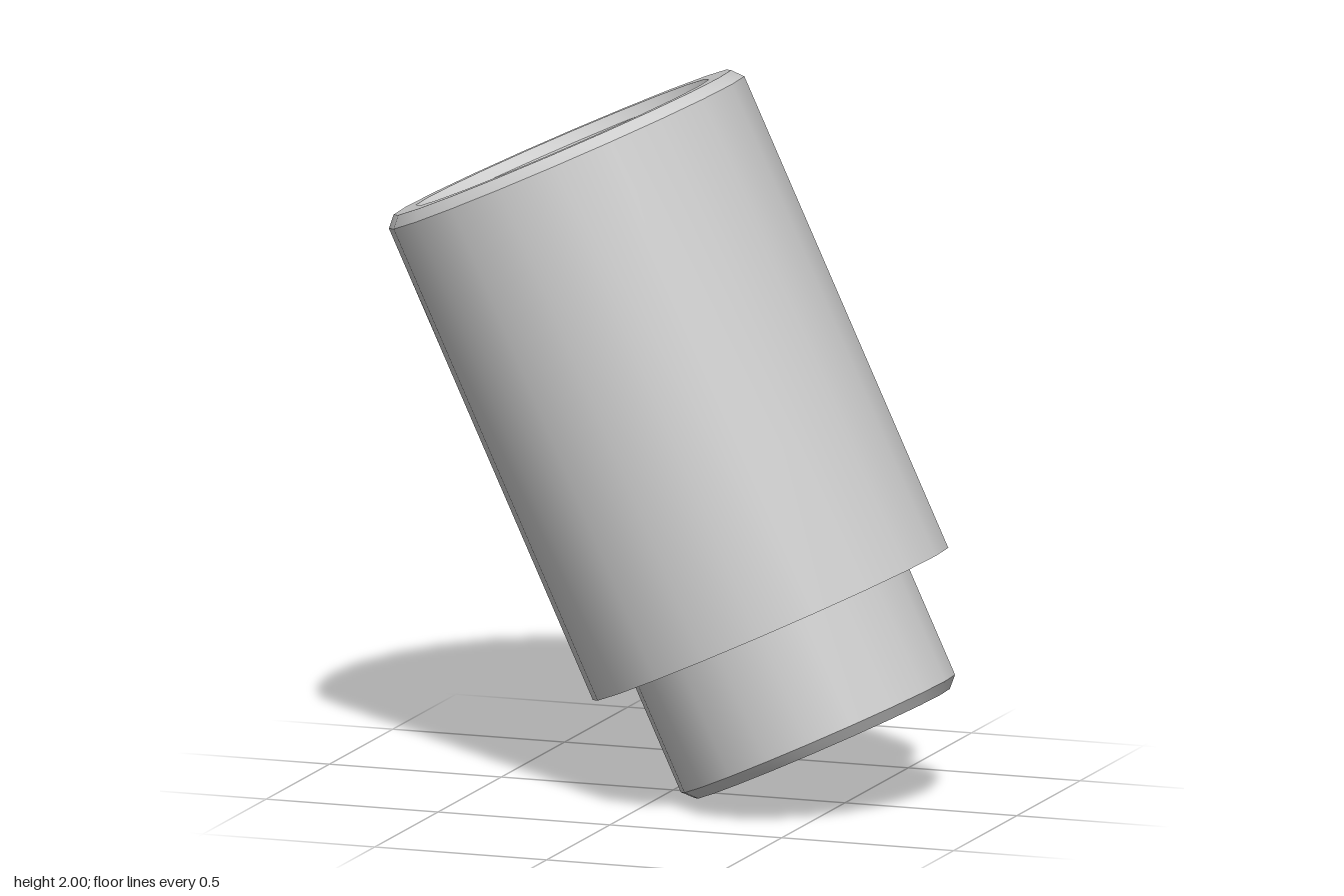
import * as THREE from 'three';
import { toCreasedNormals } from 'three/addons/utils/BufferGeometryUtils.js';

const SIDES = 20;
const material = new THREE.MeshStandardMaterial({ color: 0xcccccc, side: THREE.DoubleSide });

// Thin turned shell from [radius, height] points: smooth around, sharp at the bevels
function turned(name, profile) {
  const points = profile.map(([r, h]) => new THREE.Vector2(r, h));
  const geometry = toCreasedNormals(new THREE.LatheGeometry(points, SIDES), 0.5);
  const mesh = new THREE.Mesh(geometry, material);
  mesh.name = name;
  return mesh;
}

export function createModel() {
  const model = new THREE.Group();
  model.name = 'tiltedCup';

  // Inner cup: bevelled closed base and a long wall up to the rim
  model.add(turned('innerCup', [[0, 0], [0.38, 0], [0.409, 0.03], [0.409, 1.76]]));

  // Outer sleeve: open underneath, bevelled on both edges of the rim
  model.add(turned('outerSleeve', [
    [0.53, 0.356], [0.53, 1.76], [0.503, 1.79], [0.437, 1.79], [0.409, 1.76],
  ]));

  // Whole cup leans towards -x, resting on the edge of its base
  model.rotation.z = THREE.MathUtils.degToRad(25);
  model.position.set(0.434, 0.162, 0);

  const root = new THREE.Group();
  root.add(model);
  return root;
}
